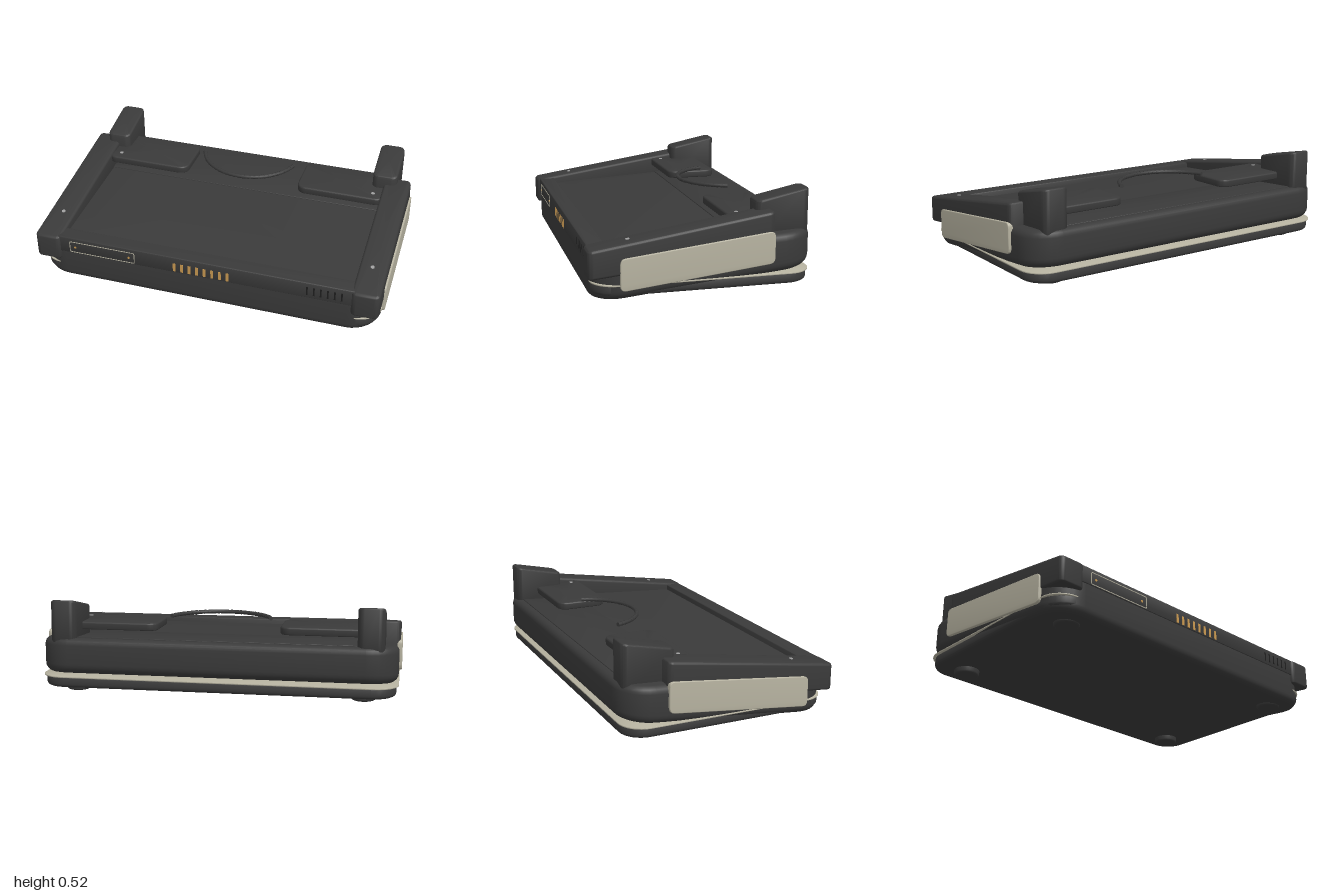
import * as THREE from 'three';
import { toCreasedNormals } from 'three/addons/utils/BufferGeometryUtils.js';

const mat = (name, color) => {
  const m = new THREE.MeshStandardMaterial({ color });
  m.name = name;
  return m;
};

// Rounded slab lofted from rounded-rectangle rings; bottom and top heights depend on z
function slab(x0, x1, z0, z1, r, yBot, yTop, bBot, bTop) {
  const rings = [], n = 8, steps = 5;
  const ring = (inset, height) => {
    const rr = Math.max(r - inset, 0.004), pts = [];
    [[x1, z1], [x0, z1], [x0, z0], [x1, z0]].forEach(([cx, cz], q) => {
      const sx = cx === x1 ? 1 : -1, sz = cz === z1 ? 1 : -1;
      for (let i = 0; i <= n; i++) {
        const a = (q + i / n) * Math.PI / 2;
        const z = cz - sz * (inset + rr) + rr * Math.sin(a);
        pts.push([cx - sx * (inset + rr) + rr * Math.cos(a), height(z), z]);
      }
    });
    rings.push(pts);
  };
  for (let i = 0; i <= steps; i++) {
    const a = i / steps * Math.PI / 2;
    ring(bBot * (1 - Math.sin(a)), z => yBot(z) + bBot * (1 - Math.cos(a)));
  }
  for (let i = 0; i <= steps; i++) {
    const a = i / steps * Math.PI / 2;
    ring(bTop * (1 - Math.cos(a)), z => yTop(z) - bTop * (1 - Math.sin(a)));
  }
  const pos = [], tri = (...p) => p.forEach(v => pos.push(...v));
  const m = rings[0].length, last = rings.length - 1;
  const cx = (x0 + x1) / 2, cz = (z0 + z1) / 2;
  for (let i = 0; i < m; i++) {
    const j = (i + 1) % m;
    for (let k = 0; k < last; k++) {
      const a = rings[k], b = rings[k + 1];
      tri(a[i], b[i], a[j]);
      tri(a[j], b[i], b[j]);
    }
    tri([cx, yBot(cz), cz], rings[0][i], rings[0][j]);
    tri([cx, yTop(cz), cz], rings[last][j], rings[last][i]);
  }
  const g = new THREE.BufferGeometry();
  g.setAttribute('position', new THREE.Float32BufferAttribute(pos, 3));
  return toCreasedNormals(g, 0.6);
}

// Closed polygon with rounded corners
function roundedPoly(points, r, Type = THREE.Shape) {
  const s = new Type(), v = points.map(p => new THREE.Vector2(...p)), n = v.length;
  v.forEach((c, i) => {
    const toward = o => c.clone().add(o.clone().sub(c).setLength(r));
    const a = toward(v[(i + n - 1) % n]), b = toward(v[(i + 1) % n]);
    if (i === 0) s.moveTo(a.x, a.y); else s.lineTo(a.x, a.y);
    s.quadraticCurveTo(c.x, c.y, b.x, b.y);
  });
  s.closePath();
  return s;
}

const rect = (x0, x1, y0, y1) => [[x0, y0], [x1, y0], [x1, y1], [x0, y1]];

// Side profile given as (z, y), extruded across x from x0 to x1
function sideExtrude(points, r, x0, x1, b) {
  const g = new THREE.ExtrudeGeometry(roundedPoly(points, r), {
    depth: x1 - x0 - 2 * b, bevelEnabled: true, bevelThickness: b,
    bevelSize: b, bevelOffset: -b, bevelSegments: 4, curveSegments: 6,
  });
  g.rotateY(-Math.PI / 2);
  g.translate(x1 - b, 0, 0);
  return toCreasedNormals(g, 0.6);
}

export function createModel() {
  const group = new THREE.Group();
  const dark = mat('charcoal plastic', 0x3a3a3a);
  const black = mat('black slots', 0x1e1e1e);
  const cream = mat('cream plastic', 0xb5b19f);
  const gold = mat('gold contacts', 0xc99850);
  const steel = mat('steel screws', 0xa0a0a0);
  const add = (name, geo, material, x = 0, y = 0, z = 0) => {
    const m = new THREE.Mesh(geo, material);
    m.name = name;
    m.position.set(x, y, z);
    group.add(m);
    return m;
  };
  const flat = y => () => y;
  const deckY = z => 0.28 - 0.06 * z;

  // Base tray, trim plate and feet
  add('basePlate', slab(-0.975, 0.975, -0.583, 0.575, 0.13, flat(0.036), flat(0.092), 0.02, 0.006), dark);
  add('trimPlate', slab(-0.988, 0.988, -0.588, 0.576, 0.13, flat(0.091), flat(0.099), 0.003, 0.003), cream);
  const footProfile = [[0, 0.003], [0.055, 0.003], [0.064, 0.007], [0.069, 0.015], [0.07, 0.04]]
    .map(p => new THREE.Vector2(...p));
  for (const x of [-0.8, 0.8]) for (const z of [0.425, -0.435])
    add('foot', new THREE.LatheGeometry(footProfile, 32), dark, x, 0, z);

  // Tilted main body, slightly raised rear deck and the front lip
  add('body', slab(-0.985, 0.985, -0.6, 0.582, 0.17, z => 0.06 - 0.1 * z, deckY, 0.05, 0.04), dark);
  add('rearDeck', slab(-0.86, 0.86, -0.55, -0.19, 0.01, z => deckY(z) - 0.01, z => deckY(z) + 0.005, 0.002, 0.003), dark);
  add('frontLip', slab(-0.86, 0.86, 0.49, 0.586, 0.008, flat(0.185), flat(0.282), 0.003, 0.008), dark);

  // Parts mirrored left and right
  for (const s of [1, -1]) {
    const span = (a, b) => (s > 0 ? [a, b] : [-b, -a]);
    add('sideRail', slab(...span(0.837, 0.99), -0.367, 0.6, 0.028,
      z => 0.13 + 0.1 * (0.6 - z), z => 0.278 + 0.154 * (0.6 - z), 0.015, 0.016), dark);
    add('rearPost', slab(...span(0.768, 0.912), -0.58, -0.293, 0.035,
      flat(0.27), z => 0.465 - 0.209 * (z + 0.293), 0.005, 0.014), dark);
    const side = [[0.44, 0.066], [0.44, 0.233], [-0.365, 0.326], [-0.365, 0.158]];
    add('sidePanel', sideExtrude(side, 0.03, ...span(0.94, 1.0), 0.004), cream);
    add('restPad', slab(...span(0.342, 0.86), -0.455, -0.162, 0.055, flat(0.345), flat(0.388), 0.008, 0.01), dark);
    const screw = new THREE.CylinderGeometry(0.011, 0.011, 0.006, 16);
    add('padScrew', screw, steel, s * 0.79, 0.388, -0.22);
    add('railScrew', screw, steel, s * 0.908, 0.312, 0.385).rotation.x = 0.153;
  }

  // Curved ribbed cable above the deck
  const arc = new THREE.EllipseCurve(0, 0, 0.292, 0.292, 0.31, Math.PI - 0.31);
  const path = new THREE.CatmullRomCurve3(arc.getPoints(24).map(p => new THREE.Vector3(p.x, 0.417, p.y - 0.422)));
  add('cable', new THREE.TubeGeometry(path, 48, 0.0105, 12), dark);
  for (let i = 0; i <= 28; i++) {
    const t = i / 28;
    const rib = add('cableRib', new THREE.CylinderGeometry(0.0118, 0.0118, 0.014, 12), dark);
    rib.position.copy(path.getPointAt(t));
    rib.quaternion.setFromUnitVectors(new THREE.Vector3(0, 1, 0), path.getTangentAt(t));
  }

  // Front hatch outline with two screws
  const frame = roundedPoly(rect(-0.784, -0.389, 0.19, 0.261), 0.012);
  frame.holes.push(roundedPoly(rect(-0.78, -0.393, 0.194, 0.257), 0.01, THREE.Path));
  add('hatchFrame', new THREE.ExtrudeGeometry(frame, { depth: 0.005, bevelEnabled: false }), cream, 0, 0, 0.583);
  for (const x of [-0.75, -0.425])
    add('hatchScrew', new THREE.CylinderGeometry(0.007, 0.007, 0.006, 12), gold, x, 0.224, 0.585).rotation.x = Math.PI / 2;

  // Front contacts and vent slots
  for (let i = 0; i < 8; i++)
    add('contact', new THREE.BoxGeometry(0.016, 0.052, 0.006), gold, -0.154 + i * 0.0437, 0.218, 0.585);
  for (let i = 0; i < 6; i++)
    add('ventSlot', new THREE.BoxGeometry(0.009, 0.052, 0.006), black, 0.598 + i * 0.038, 0.23, 0.584);

  return group;
}
